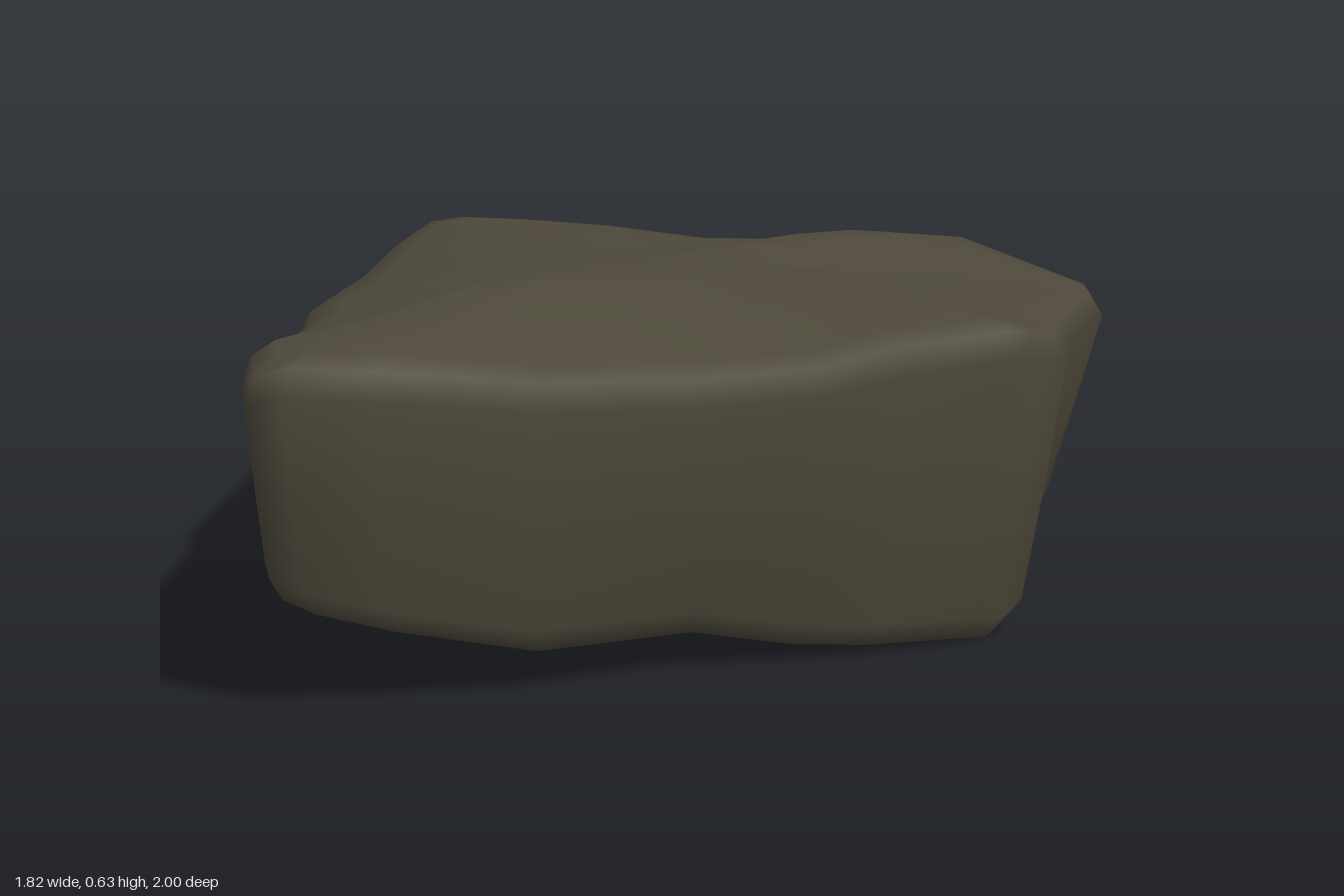
import * as THREE from 'three';

// Outline of the slab, running clockwise from the rear tip: [x, z, top height, bottom height]
const OUTLINE = [
  [-0.03, -1, 0.405, 0.2], [0.03, -0.97, 0.415, 0.2], [0.13, -0.84, 0.425, 0.175], [0.26, -0.66, 0.435, 0.15],
  [0.4, -0.47, 0.44, 0.135], [0.58, -0.35, 0.45, 0.125], [0.67, -0.28, 0.475, 0.115], [0.8, -0.1, 0.49, 0.11],
  [0.91, 0.22, 0.46, 0.09], [0.89, 0.29, 0.46, 0.08], [0.8, 0.43, 0.49, 0.055], [0.66, 0.63, 0.505, 0.045],
  [0.58, 0.79, 0.53, 0.02], [0.52, 0.91, 0.555, 0.01], [0.46, 0.96, 0.58, 0], [0.4, 0.98, 0.588, 0.01],
  [0.2, 0.99, 0.58, 0.02], [0.05, 0.985, 0.555, 0.035], [-0.14, 0.97, 0.55, 0.07], [-0.45, 0.99, 0.575, 0.075],
  [-0.72, 1, 0.62, 0.14], [-0.86, 0.985, 0.635, 0.18], [-0.91, 0.95, 0.62, 0.2], [-0.89, 0.85, 0.625, 0.2],
  [-0.81, 0.63, 0.575, 0.175], [-0.76, 0.56, 0.56, 0.17], [-0.64, 0.3, 0.535, 0.175], [-0.62, 0.2, 0.525, 0.18],
  [-0.45, -0.15, 0.48, 0.16], [-0.33, -0.44, 0.425, 0.15], [-0.17, -0.73, 0.415, 0.18],
];
const CX = 0, CZ = 0.15, TOP_MID = 0.545, BOTTOM_MID = 0.06;

// Soft hill of height 1 around (cx, cz)
const hill = (x, z, cx, cz, wx, wz) => Math.exp(-((x - cx) ** 2) / wx - ((z - cz) ** 2) / wz);
const mix = THREE.MathUtils.lerp;

// Move a point towards the middle of the slab by a fixed distance
function inset([x, z], d) {
  const k = d / Math.hypot(x - CX, z - CZ);
  return [mix(x, CX, k), mix(z, CZ, k)];
}

// Rings from the underside, up the overhanging wall, to the top face
function sections() {
  const rings = Array.from({ length: 10 }, () => []);
  for (const [x, z, top, bottom] of OUTLINE) {
    // Hollows under the right rear and left walls
    const tuck = 0.07 * hill(x, z, 0.72, -0.22, 0.1, 0.1) + 0.08 * hill(x, z, -0.6, 0.15, 0.06, 0.06);
    const low = inset([x * 0.94, z - 0.045 * (1 + z)], tuck);  // wall foot, tucked in at the front
    const high = [x, z + 0.2 * Math.max(0, -z - 0.7)];         // rim, set back at the rear tip
    const put = (r, [px, pz], y) => rings[r].push([px, y, pz]);
    const inner = (p, t) => [mix(p[0], CX, t), mix(p[1], CZ, t)];
    put(0, inner(low, 0.5), mix(bottom, BOTTOM_MID, 0.5));
    put(1, inset(low, 0.12), bottom + 0.005);
    put(2, inset(low, 0.035), bottom + 0.005);
    put(3, low, bottom + 0.05);
    put(4, [mix(low[0], high[0], 0.55), mix(low[1], high[1], 0.55)], mix(bottom, top, 0.5));
    put(5, high, top - 0.055);
    put(6, inset(high, 0.025), top - 0.012);
    put(7, inset(high, 0.09), top);
    // Top face with a low swelling behind the front edge
    [0.32, 0.6].forEach((t, k) => {
      const p = inner(high, t);
      put(8 + k, p, mix(top, TOP_MID, t) + 0.042 * hill(...p, -0.1, 0.45, 0.15, 0.04));
    });
  }
  return rings;
}

function slabGeometry() {
  const rings = sections(), n = OUTLINE.length, index = [];
  const points = rings.flat();
  for (let r = 0; r < rings.length - 1; r++) {
    for (let i = 0; i < n; i++) {
      const j = (i + 1) % n, a = r * n + i, b = r * n + j;
      index.push(a, a + n, b, b, a + n, b + n);
    }
  }
  // Close the underside and the top with fans
  const under = points.length, over = under + 1, last = (rings.length - 1) * n;
  points.push([CX, BOTTOM_MID, CZ], [CX, TOP_MID, CZ]);
  for (let i = 0; i < n; i++) {
    const j = (i + 1) % n;
    index.push(under, i, j, last + i, over, last + j);
  }
  const geometry = new THREE.BufferGeometry();
  geometry.setAttribute('position', new THREE.Float32BufferAttribute(points.flat(), 3));
  geometry.setIndex(index);
  geometry.computeVertexNormals();
  return geometry;
}

export function createModel() {
  const stone = new THREE.MeshStandardMaterial({ color: 0x4f4a3c });
  stone.name = 'stone';
  const slab = new THREE.Mesh(slabGeometry(), stone);
  slab.name = 'rockSlab';
  const group = new THREE.Group();
  group.name = 'rock';
  group.add(slab);
  return group;
}
